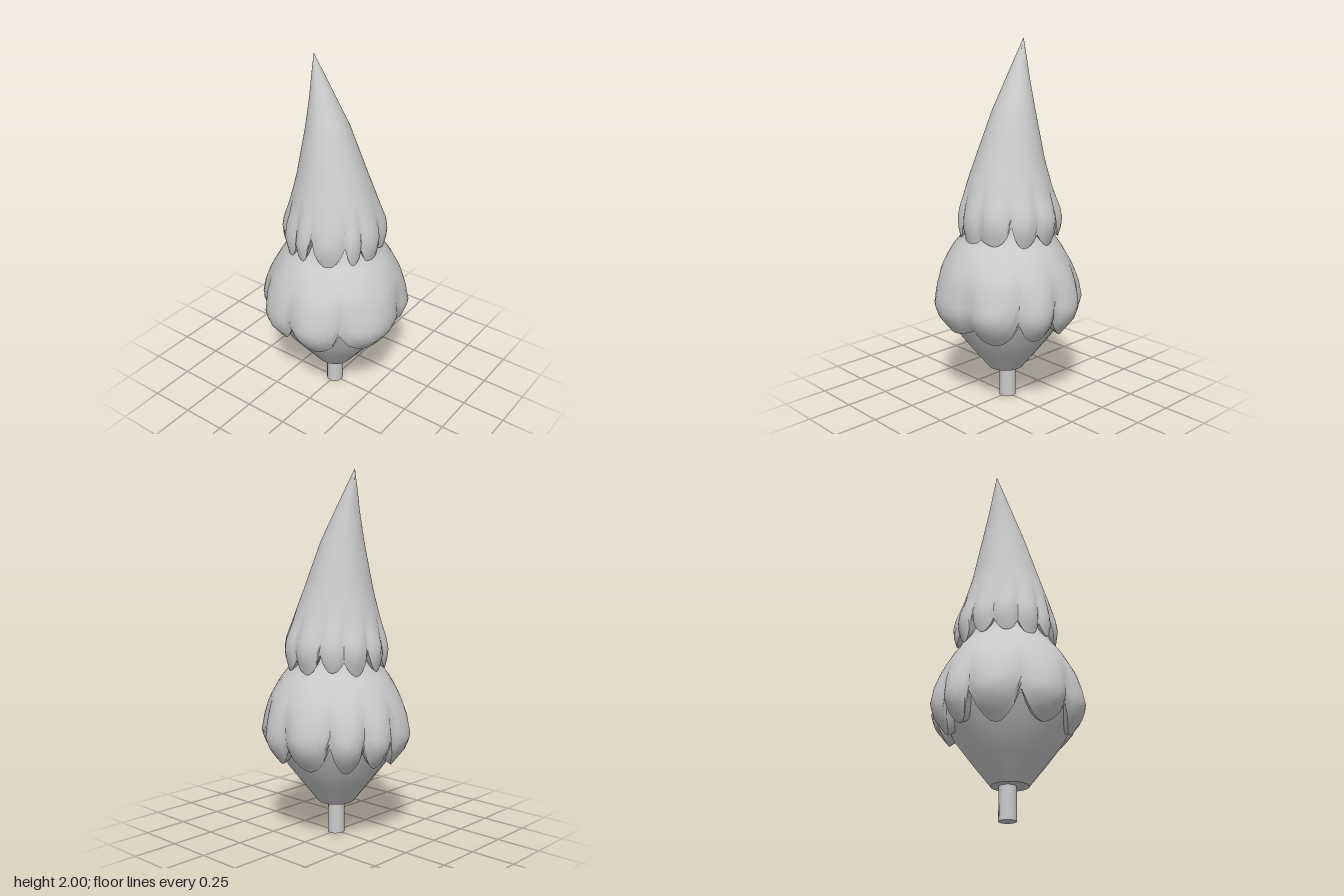
import * as THREE from 'three';
import { toCreasedNormals } from 'three/addons/utils/BufferGeometryUtils.js';

const material = new THREE.MeshStandardMaterial({ color: 0xcccccc, side: THREE.DoubleSide });

// Linear lookup in a profile of [y, radius, centreX, centreZ], listed from the top down
function sample(profile, y) {
  let i = 0;
  while (i < profile.length - 2 && y < profile[i + 1][0]) i++;
  const a = profile[i], b = profile[i + 1];
  const t = THREE.MathUtils.clamp((y - a[0]) / (b[0] - a[0]), 0, 1);
  return a.map((value, k) => value + (b[k] - value) * t);
}

// A layer of foliage: rings from the top down to a scalloped hem, folded inward at the end.
// Each notch is [angle in degrees from the front, height of the notch].
function foliage(name, { profile, notches, tipY, groove, grooveTop, rows }) {
  const columns = [], steps = 8;
  notches.forEach(([angle, y], n) => {
    const last = n === notches.length - 1;
    const [nextAngle, nextY] = last ? [notches[0][0] + 360, notches[0][1]] : notches[n + 1];
    const tip = tipY + 0.012 * Math.sin(n * 2.4);
    for (let k = 0; k < steps; k++) {
      const t = k / steps;
      const lobe = Math.pow(Math.sin(Math.PI * t), 0.75);
      columns.push({
        angle: THREE.MathUtils.degToRad(angle + (nextAngle - angle) * t),
        lobe,
        hem: THREE.MathUtils.lerp(y + (nextY - y) * t, tip, lobe),
      });
    }
  });

  const positions = [], index = [], count = columns.length;
  const top = profile[0][0];
  for (let i = 0; i <= rows + 1; i++) {
    for (const { angle, lobe, hem } of columns) {
      const fold = i > rows;
      let y = THREE.MathUtils.lerp(top, hem, Math.min(i / rows, 1));
      let [, r, cx, cz] = sample(profile, y);
      // Grooves between the lobes deepen towards the hem
      const depth = THREE.MathUtils.smoothstep(grooveTop - y, 0, grooveTop - tipY - 0.1);
      r -= groove * (1 - lobe) * depth;
      if (fold) { r *= 0.82; y += 0.03; }
      positions.push(cx + r * Math.sin(angle), y, cz + r * Math.cos(angle));
    }
  }
  for (let i = 0; i <= rows; i++) {
    for (let j = 0; j < count; j++) {
      const a = i * count + j, b = i * count + (j + 1) % count;
      index.push(a, a + count, b, b, a + count, b + count);
    }
  }
  const geometry = new THREE.BufferGeometry();
  geometry.setAttribute('position', new THREE.Float32BufferAttribute(positions, 3));
  geometry.setIndex(index);
  const mesh = new THREE.Mesh(toCreasedNormals(geometry, 0.9), material);
  mesh.name = name;
  return mesh;
}

export function createModel() {
  const tree = new THREE.Group();
  tree.name = 'tree';

  // Trunk
  const trunk = new THREE.Mesh(new THREE.CylinderGeometry(0.045, 0.048, 0.3, 12), material);
  trunk.name = 'trunk';
  trunk.position.y = 0.15;
  tree.add(trunk);

  // Tapered underside of the foliage, closed around the trunk
  const outline = [[0, 0.18], [0.1, 0.18], [0.2, 0.305], [0.295, 0.43], [0.35, 0.56], [0.3, 0.7]]
    .map(([r, y]) => new THREE.Vector2(r, y));
  const underside = new THREE.Mesh(
    toCreasedNormals(new THREE.LatheGeometry(outline, 24), 0.7), material);
  underside.name = 'underside';
  underside.position.set(0.008, 0, 0.008);
  tree.add(underside);

  // Wide lower foliage
  tree.add(foliage('lowerFoliage', {
    profile: [
      [1.08, 0.2, 0, 0], [0.96, 0.245, 0, 0], [0.88, 0.305, 0.005, 0], [0.77, 0.367, 0.005, 0],
      [0.68, 0.4, 0, 0], [0.58, 0.42, 0, 0], [0.51, 0.395, 0, 0], [0.41, 0.315, 0, 0],
    ],
    notches: [[-4, 0.55], [40, 0.58], [103, 0.48], [146, 0.54], [178, 0.53],
      [218, 0.57], [246, 0.55], [273, 0.58], [314, 0.57]],
    tipY: 0.425, groove: 0.045, grooveTop: 0.86, rows: 16,
  }));

  // Tall upper foliage, with its tip leaning to one side
  tree.add(foliage('upperFoliage', {
    profile: [
      [2, 0.001, -0.125, 0.008], [1.9, 0.032, -0.103, 0.006], [1.78, 0.068, -0.076, 0.003],
      [1.62, 0.118, -0.045, 0], [1.35, 0.193, -0.015, 0], [1.2, 0.242, -0.006, -0.003],
      [1.1, 0.279, -0.006, -0.01], [1.03, 0.29, -0.008, -0.01], [0.92, 0.262, -0.005, -0.005],
    ],
    notches: [[8, 1.09], [48, 1.05], [68, 1.02], [100, 0.97], [138, 1.05], [170, 1.0],
      [205, 1.04], [232, 1.0], [262, 1.06], [290, 1.01], [318, 1.0], [345, 1.01]],
    tipY: 0.935, groove: 0.022, grooveTop: 1.3, rows: 20,
  }));

  return tree;
}
